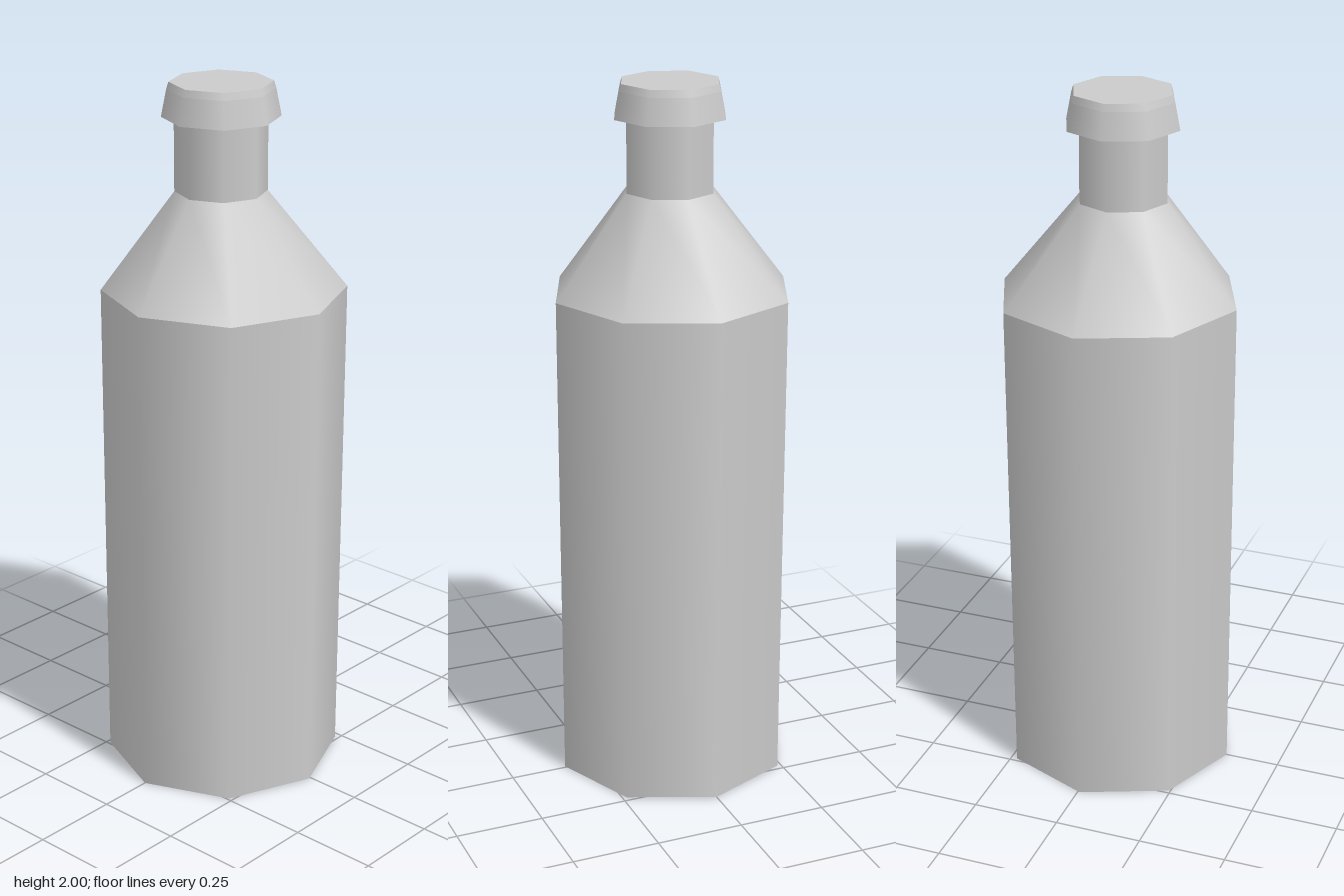
import * as THREE from 'three';

const SIDES = 8;

// Eight-sided band through [radius, y, centreX] rings; smooth around, creased at its ends
function band(name, rings, material) {
  const geometry = new THREE.LatheGeometry(rings.map(([r, y]) => new THREE.Vector2(r, y)), SIDES);
  const pos = geometry.attributes.position;
  // shift each ring sideways, as the bottle leans very slightly
  for (let i = 0; i < pos.count; i++) {
    pos.setX(i, pos.getX(i) + rings[i % rings.length][2]);
  }
  const mesh = new THREE.Mesh(geometry, material);
  mesh.name = name;
  return mesh;
}

export function createModel() {
  const smooth = new THREE.MeshStandardMaterial({ color: 0xcccccc, side: THREE.DoubleSide });
  const faceted = new THREE.MeshStandardMaterial({ color: 0xcccccc, side: THREE.DoubleSide, flatShading: true });
  const model = new THREE.Group();
  model.name = 'bottle';

  // Hollow bottle, open at the base
  model.add(
    band('body', [[0.337, 0, -0.006], [0.341, 1.42, 0]], smooth),
    band('shoulder', [[0.341, 1.42, 0], [0.127, 1.7, -0.013]], smooth),
    band('neck', [[0.127, 1.7, -0.013], [0.127, 1.91, -0.013]], smooth),
  );

  // Flared cap with a narrow bevel around its flat top
  const cap = new THREE.Group();
  cap.name = 'cap';
  cap.add(
    band('capUnderside', [[0.127, 1.905, -0.013], [0.162, 1.905, -0.012]], faceted),
    band('capSkirt', [[0.162, 1.905, -0.012], [0.147, 1.98, -0.012]], smooth),
    band('capBevel', [[0.147, 1.98, -0.012], [0.141, 2, -0.012]], smooth),
    band('capTop', [[0.141, 2, -0.012], [0, 2, -0.012]], faceted),
  );
  model.add(cap);
  return model;
}
